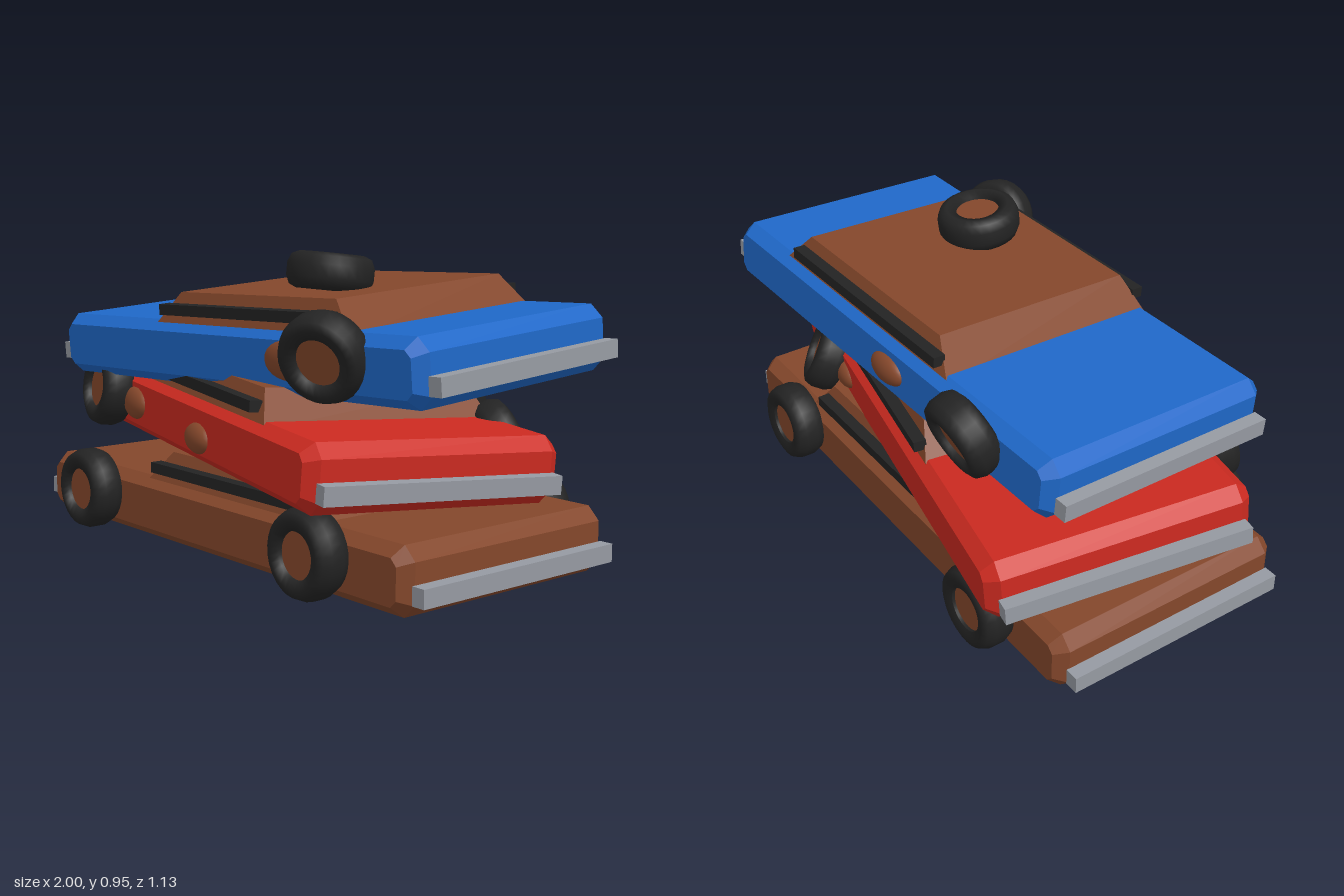
import * as THREE from 'three';

const mat = (name, color) => Object.assign(new THREE.MeshStandardMaterial({ color }), { name });
const rust = mat('rust brown', 0x84472b);
const blue = mat('blue paint', 0x1f68c8);
const red = mat('red paint', 0xcc2a20);
const rubber = mat('black rubber', 0x232323);
const chrome = mat('dull chrome', 0x969aa2);

function add(parent, name, geometry, material, x = 0, y = 0, z = 0) {
  const mesh = new THREE.Mesh(geometry, material);
  mesh.name = name;
  mesh.position.set(x, y, z);
  parent.add(mesh);
  return mesh;
}

// Box with every edge cut by a chamfer, centred on the origin
function chamferBox(hx, hy, hz, c) {
  const s = new THREE.Shape([
    [-hx + c, -hy], [hx - c, -hy], [hx, -hy + c], [hx, hy - c],
    [hx - c, hy], [-hx + c, hy], [-hx, hy - c], [-hx, -hy + c],
  ].map(([x, y]) => new THREE.Vector2(x, y)));
  const g = new THREE.ExtrudeGeometry(s, {
    depth: 2 * (hz - c), bevelEnabled: true, bevelSegments: 1,
    bevelThickness: c, bevelSize: c * 0.8, bevelOffset: -c * 0.8,
  });
  return g.translate(0, 0, -(hz - c));
}

// Crushed cabin: a box whose top slopes in at both ends and sides
function cabinGeometry() {
  const g = new THREE.BoxGeometry(1, 1, 1).toNonIndexed();
  const p = g.attributes.position;
  for (let i = 0; i < p.count; i++) {
    const top = p.getY(i) > 0;
    const front = p.getX(i) < 0;
    p.setXYZ(i,
      front ? (top ? -0.24 : -0.34) : (top ? 0.47 : 0.56),
      top ? 0.186 : 0.08,
      Math.sign(p.getZ(i)) * (top ? 0.35 : 0.39));
  }
  g.computeVertexNormals();
  return g;
}

// Tyre with a rusty hub, its axle along y
const tyreGeometry = new THREE.LatheGeometry([
  [0.07, -0.045], [0.1, -0.056], [0.122, -0.046], [0.133, -0.02], [0.133, 0.02],
  [0.122, 0.046], [0.1, 0.056], [0.07, 0.045], [0.07, -0.045],
].map(([x, y]) => new THREE.Vector2(x, y)), 28);
const hubGeometry = new THREE.CylinderGeometry(0.072, 0.072, 0.07, 24);

function wheel(parent, name, position, axis) {
  const w = new THREE.Group();
  w.name = name;
  add(w, 'tyre', tyreGeometry, rubber);
  add(w, 'hub', hubGeometry, rust);
  w.position.set(...position);
  w.quaternion.setFromUnitVectors(new THREE.Vector3(0, 1, 0), new THREE.Vector3(...axis).normalize());
  parent.add(w);
}

function car(parent, { name, paint, half, position, rotation, patches = [] }) {
  const c = new THREE.Group();
  c.name = name;
  c.position.set(...position);
  c.rotation.set(...rotation, 'YXZ');
  add(c, 'body', chamferBox(half, 0.1, 0.415, 0.04), paint);
  add(c, 'cabin', cabinGeometry(), rust);
  for (const s of [-1, 1]) {
    add(c, 'bumper', new THREE.BoxGeometry(0.045, 0.055, 0.77), chrome, s * (half + 0.022), -0.03, 0);
    add(c, 'sideWindow', new THREE.BoxGeometry(0.78, 0.034, 0.04), rubber, 0.1, 0.135, s * 0.385);
  }
  // Rust blisters on the flanks
  for (const [x, y, side, r] of patches) {
    const blister = add(c, 'rustPatch', new THREE.SphereGeometry(1, 24, 12), rust, x, y, side * 0.41);
    blister.scale.set(r, r * 0.6, 0.035);
  }
  parent.add(c);
}

export function createModel() {
  const model = new THREE.Group();
  model.name = 'scrapCarStack';

  // Three flattened cars, each twisted a little
  car(model, {
    name: 'bottomCar', paint: rust, half: 0.915,
    position: [0, 0.11, 0], rotation: [0, 0.07, 0],
  });
  car(model, {
    name: 'middleCar', paint: red, half: 0.88,
    position: [-0.045, 0.39, 0.005], rotation: [-0.055, -0.14, -0.035],
    patches: [[0.16, -0.02, 1, 0.08], [-0.37, 0, 1, 0.09], [0.42, 0, -1, 0.08]],
  });
  car(model, {
    name: 'topCar', paint: blue, half: 0.84,
    position: [0.04, 0.66, -0.025], rotation: [0.06, 0.12, 0.028],
    patches: [[0.32, 0.01, 1, 0.1], [-0.07, 0, -1, 0.08]],
  });

  // Bottom wheels, still straight
  const yaw = 0.07;
  for (const x of [-0.572, 0.572]) {
    for (const z of [-0.46, 0.46]) {
      wheel(model, 'bottomWheel', [x + z * yaw, 0.14, z - x * yaw], [yaw, 0, 1]);
    }
  }

  // Bent wheels left on the upper cars
  wheel(model, 'middleFrontWheel', [-0.63, 0.465, 0.38], [-0.14, 0.12, 1]);
  wheel(model, 'middleBackWheel', [0.55, 0.37, -0.35], [0.42, 0.4, -0.82]);
  wheel(model, 'topFrontWheel', [0.6, 0.685, 0.36], [0.4, -0.32, 0.86]);
  wheel(model, 'topBackWheel', [-0.51, 0.7, -0.405], [-0.05, -0.36, -0.93]);

  // Loose wheel lying on the roof
  wheel(model, 'looseWheel', [0.27, 0.893, 0.095], [0, 1, -0.12]);
  return model;
}
